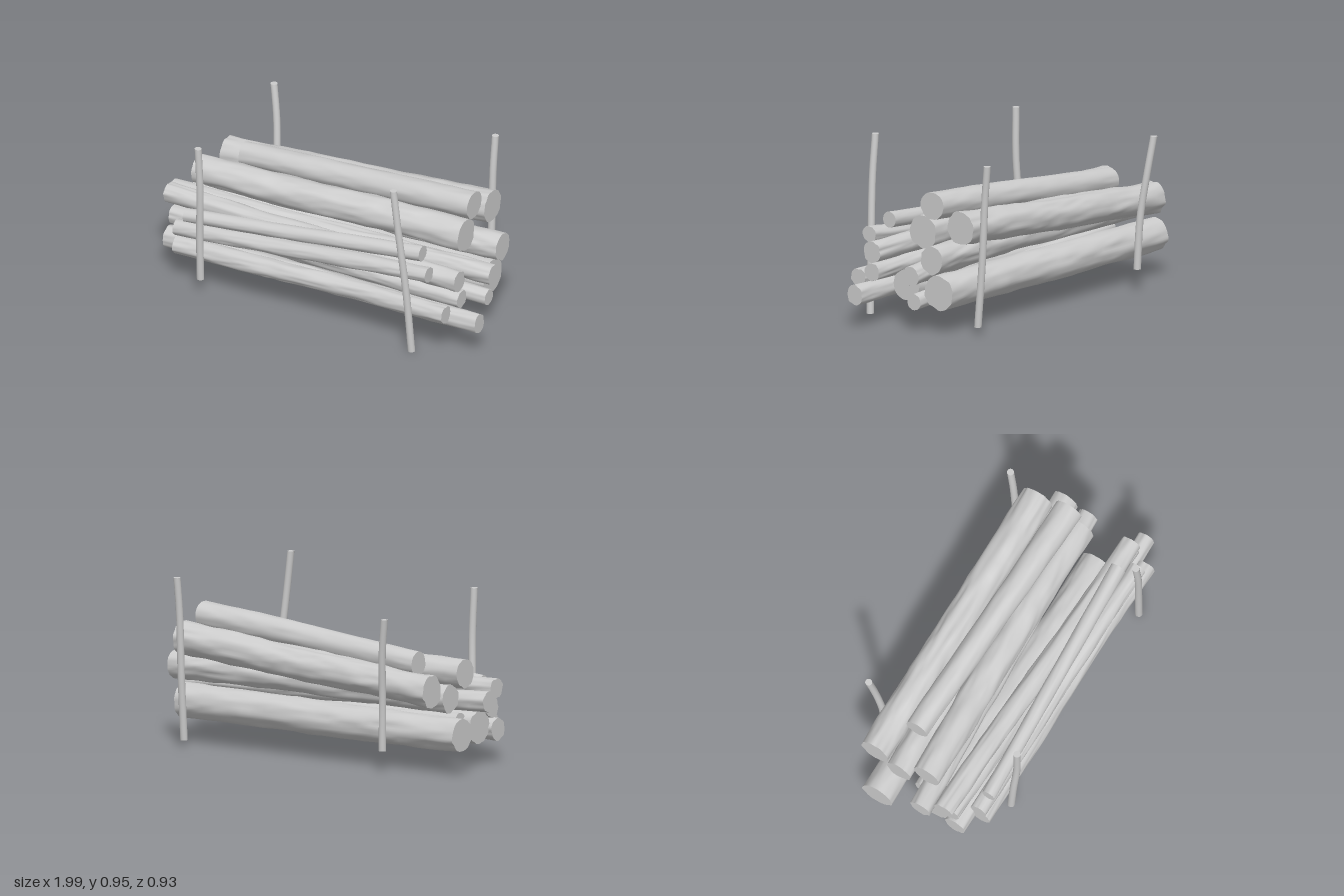
import * as THREE from 'three';

const material = new THREE.MeshStandardMaterial({ color: 0xcccccc });
const V = (x, y, z) => new THREE.Vector3(x, y, z);
const X = V(1, 0, 0), Y = V(0, 1, 0), Z = V(0, 0, 1);

// Repeatable value noise, wrapping around the trunk
const hash = (a, b, seed) => {
  const s = Math.sin(a * 127.1 + b * 311.7 + seed * 74.7) * 43758.5453;
  return s - Math.floor(s);
};
function noise(u, v, wrap, seed) {
  const i = Math.floor(u), j = Math.floor(v);
  const ease = (t) => t * t * (3 - 2 * t);
  const fu = ease(u - i), fv = ease(v - j);
  const at = (a, b) => hash(a % wrap, b, seed);
  const low = at(i, j) * (1 - fu) + at(i + 1, j) * fu;
  const high = at(i, j + 1) * (1 - fu) + at(i + 1, j + 1) * fu;
  return low * (1 - fv) + high * fv - 0.5;
}

// Sweeps a ring along a curve; u x v points along the trunk, bark roughens it
function trunk(name, points, r0, r1, u, v, { sides, rings, bark, seed }) {
  const curve = new THREE.CatmullRomCurve3(points);
  const pos = [], index = [];
  for (let i = 0; i <= rings; i++) {
    const t = i / rings, c = curve.getPoint(t);
    for (let k = 0; k < sides; k++) {
      const f = k / sides, a = f * Math.PI * 2;
      const rough = noise(f * 14, t * 9, 14, seed) * 1.0
        + noise(f * 24, t * 20, 24, seed + 3) * 0.7
        + noise(f * 4, t * 4, 4, seed + 7) * 0.9;
      const r = (r0 + (r1 - r0) * t) * (1 + bark * rough);
      const p = c.clone().addScaledVector(u, Math.cos(a) * r).addScaledVector(v, Math.sin(a) * r);
      pos.push(p.x, p.y, p.z);
      if (i === rings) continue;
      const n = (k + 1) % sides, q = i * sides;
      index.push(q + k, q + n, q + sides + k, q + n, q + sides + n, q + sides + k);
    }
  }
  // Flat sawn ends with their own vertices
  for (const end of [0, 1]) {
    const start = end * rings * sides * 3, base = pos.length / 3;
    pos.push(...pos.slice(start, start + sides * 3));
    const c = curve.getPoint(end);
    pos.push(c.x, c.y, c.z);
    for (let k = 0; k < sides; k++) {
      const n = (k + 1) % sides;
      index.push(base + sides, base + (end ? k : n), base + (end ? n : k));
    }
  }
  const g = new THREE.BufferGeometry();
  g.setAttribute('position', new THREE.Float32BufferAttribute(pos, 3));
  g.setIndex(index);
  g.computeVertexNormals();
  const mesh = new THREE.Mesh(g, material);
  mesh.name = name;
  return mesh;
}

// Logs: right end, left end, radius at left and right, bark depth
const logs = [
  { from: [-0.81, 0.205, 0.338], to: [0.84, 0.235, 0.345], r: [0.052, 0.048], bark: 0.14 },
  { from: [-0.92, 0.18, 0.245], to: [0.99, 0.18, 0.25], r: [0.058, 0.053], bark: 0.14 },
  { from: [-0.91, 0.3, 0.205], to: [0.87, 0.285, 0.23], r: [0.052, 0.049], bark: 0.14 },
  { from: [-0.9, 0.208, 0.1], to: [0.73, 0.208, 0.11], r: [0.087, 0.086], bark: 0.11 },
  { from: [-0.85, 0.25, 0], to: [0.87, 0.162, -0.053], r: [0.047, 0.043], bark: 0.1 },
  { from: [-0.99, 0.357, 0.07], to: [0.9, 0.307, -0.053], r: [0.056, 0.056], bark: 0.16 },
  { from: [-1, 0.215, -0.195], to: [0.82, 0.22, -0.182], r: [0.088, 0.095], bark: 0.1 },
  { from: [-0.88, 0.395, -0.135], to: [0.88, 0.405, -0.178], r: [0.072, 0.075], bark: 0.13 },
  { from: [-0.86, 0.5, 0.028], to: [0.75, 0.518, -0.02], r: [0.078, 0.09], bark: 0.11 },
  { from: [-0.68, 0.56, -0.145], to: [0.76, 0.67, -0.087], r: [0.064, 0.075], bark: 0.06 },
  { from: [-0.87, 0.45, -0.287], to: [0.76, 0.578, -0.28], r: [0.083, 0.089], bark: 0.12 },
  { from: [-0.95, 0.41, 0.185], to: [0.86, 0.39, 0.238], r: [0.056, 0.056], bark: 0.14 },
  { from: [-0.75, 0.4, 0.345], to: [0.66, 0.525, 0.28], r: [0.038, 0.042], bark: 0.06 },
  { from: [-0.82, 0.3, 0.325], to: [0.74, 0.45, 0.352], r: [0.045, 0.044], bark: 0.12 },
];

// Slender bent stakes holding the stack, bottom to top
const stakes = {
  frontLeftStake: [[-0.625, 0.08, 0.41], [-0.622, 0.35, 0.423], [-0.612, 0.62, 0.437], [-0.62, 0.88, 0.443]],
  frontRightStake: [[0.665, 0, 0.406], [0.64, 0.35, 0.42], [0.603, 0.72, 0.44], [0.575, 0.955, 0.442]],
  backLeftStake: [[-0.615, 0.12, -0.38], [-0.625, 0.4, -0.392], [-0.645, 0.64, -0.423], [-0.675, 0.84, -0.445]],
  backRightStake: [[0.7, 0.04, -0.35], [0.698, 0.4, -0.378], [0.697, 0.72, -0.394], [0.7, 0.92, -0.413]],
};

export function createModel() {
  const model = new THREE.Group();
  model.name = 'logPile';

  const pile = new THREE.Group();
  pile.name = 'logs';
  logs.forEach(({ from, to, r, bark }, i) => {
    const a = V(...from), b = V(...to);
    // A slight sway keeps each log from being dead straight
    const sway = (t, s) => a.clone().lerp(b, t)
      .add(V(0, hash(i, s, 1) - 0.5, hash(i, s, 2) - 0.5).multiplyScalar(0.012));
    const path = [a, sway(0.33, 1), sway(0.67, 2), b];
    pile.add(trunk('log' + (i + 1), path, r[0], r[1], Y, Z, { sides: 48, rings: 40, bark, seed: i + 1 }));
  });
  model.add(pile);

  for (const [name, pts] of Object.entries(stakes)) {
    const path = pts.map((p) => V(...p));
    model.add(trunk(name, path, 0.02, 0.019, Z, X, { sides: 16, rings: 16, bark: 0, seed: 1 }));
  }
  return model;
}
